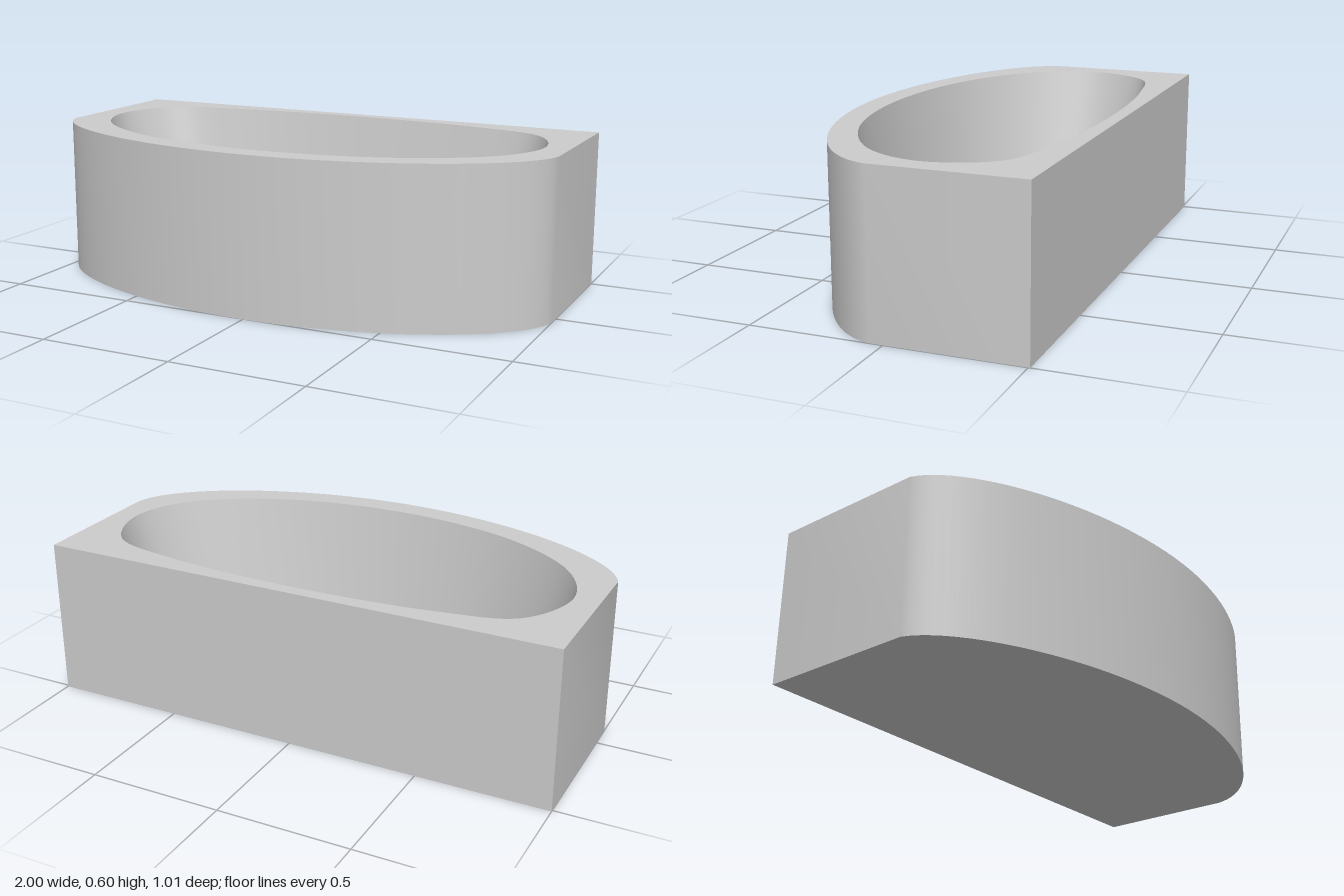
import * as THREE from 'three';
import { toCreasedNormals } from 'three/addons/utils/BufferGeometryUtils.js';

const HEIGHT = 0.6, FLOOR = 0.1;

// Smooth closed loop through plan points [x, z]
function smoothLoop(points, count) {
  const curve = new THREE.CatmullRomCurve3(points.map(([x, z]) => new THREE.Vector3(x, 0, z)), true);
  return curve.getPoints(count).slice(0, -1).map(p => new THREE.Vector2(p.x, p.z));
}

// Wall between two plan loops of equal length
function wall(lower, yLower, upper, yUpper) {
  const n = lower.length, positions = [], index = [];
  for (let i = 0; i < n; i++) {
    positions.push(lower[i].x, yLower, lower[i].y, upper[i].x, yUpper, upper[i].y);
    const a = 2 * i, b = 2 * ((i + 1) % n);
    index.push(a, b, a + 1, b, b + 1, a + 1);
  }
  const g = new THREE.BufferGeometry();
  g.setAttribute('position', new THREE.Float32BufferAttribute(positions, 3));
  g.setIndex(index);
  return toCreasedNormals(g, Math.PI / 5);
}

// Flat horizontal face inside a plan loop, optionally with a hole
function face(loop, y, up, hole) {
  const s = up ? -1 : 1;
  const flip = pts => pts.map(p => new THREE.Vector2(p.x, s * p.y));
  const shape = new THREE.Shape(flip(loop));
  if (hole) shape.holes.push(new THREE.Path(flip(hole)));
  return new THREE.ShapeGeometry(shape).rotateX(s * Math.PI / 2).translate(0, y, 0);
}

export function createModel() {
  const group = new THREE.Group();
  group.name = 'bathtub';
  const enamel = new THREE.MeshStandardMaterial({ color: 0xcccccc });
  enamel.name = 'grey enamel';
  const add = (name, geometry) => {
    const mesh = new THREE.Mesh(geometry, enamel);
    mesh.name = name;
    group.add(mesh);
  };

  // Outer plan: straight back and sides, bowed front
  const outline = new THREE.Path();
  outline.moveTo(-1, -0.507);
  outline.lineTo(-1, 0.1);
  outline.bezierCurveTo(-0.94, 0.29, -0.5, 0.505, 0, 0.505);
  outline.bezierCurveTo(0.5, 0.505, 0.96, 0.27, 1, 0.05);
  outline.lineTo(1, -0.507);
  const outer = outline.getPoints(24);

  // Basin plans at the rim and at the floor
  const rim = smoothLoop([
    [-0.905, -0.12], [-0.81, 0.12], [-0.5, 0.325], [0, 0.41], [0.5, 0.325], [0.82, 0.12],
    [0.908, -0.1], [0.81, -0.335], [0.55, -0.415], [0.02, -0.455], [-0.53, -0.42], [-0.8, -0.345],
  ], 96);
  const floor = smoothLoop([
    [-0.77, -0.1], [-0.68, 0.1], [-0.43, 0.28], [0, 0.355], [0.43, 0.28], [0.71, 0.1],
    [0.783, -0.08], [0.7, -0.265], [0.5, -0.335], [0.02, -0.385], [-0.47, -0.34], [-0.69, -0.265],
  ], 96);

  add('outerWall', wall(outer, 0, outer, HEIGHT));
  add('underside', face(outer, 0, false));
  add('rim', face(outer, HEIGHT, true, rim));
  add('basinWall', wall([...floor].reverse(), FLOOR, [...rim].reverse(), HEIGHT));
  add('basinFloor', face(floor, FLOOR, true));
  return group;
}
